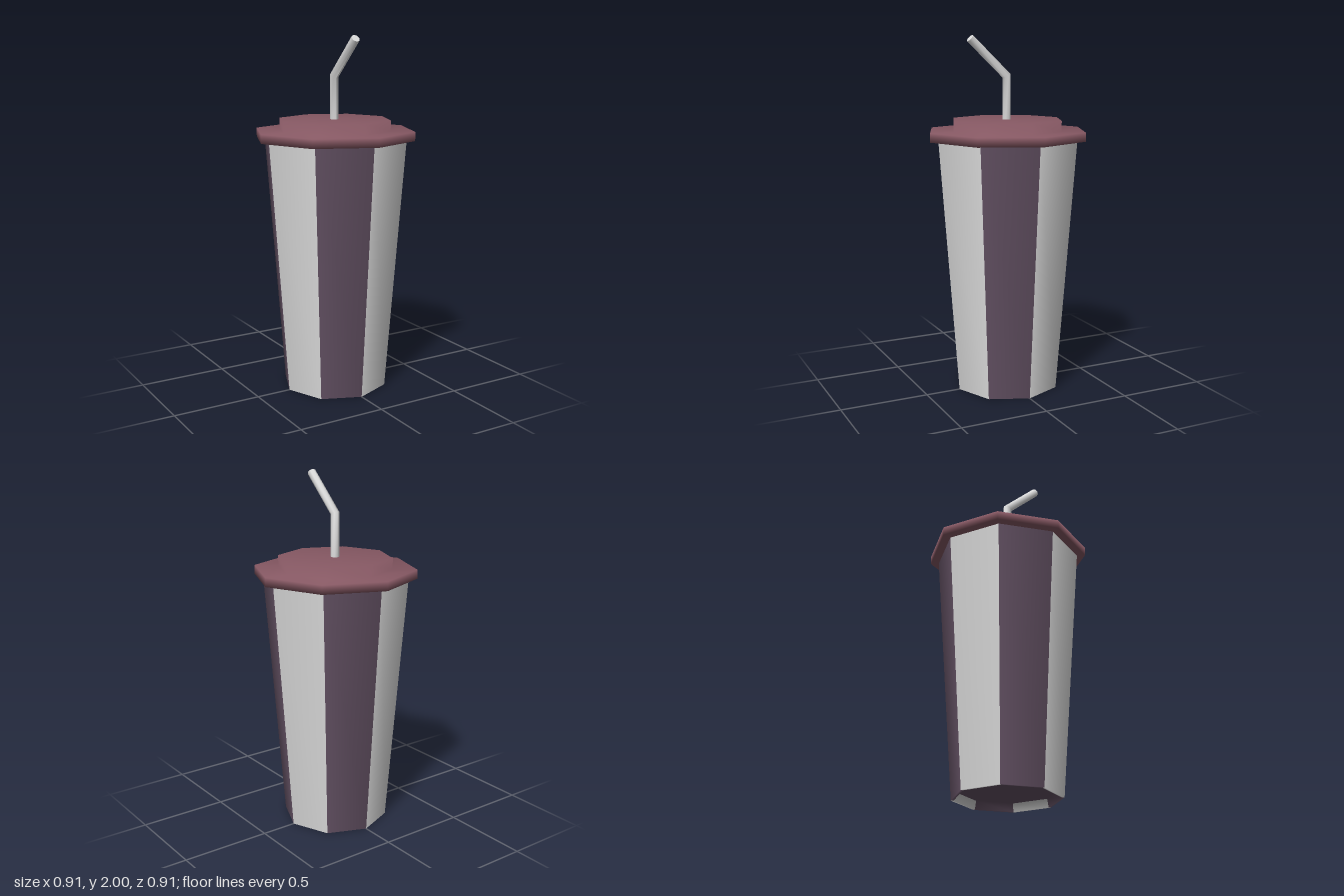
import * as THREE from 'three';

const SIDES = 8;

function material(name, color, side = THREE.FrontSide) {
  const m = new THREE.MeshStandardMaterial({ color, side });
  m.name = name;
  return m;
}

function lathe(points) {
  return new THREE.LatheGeometry(points.map(([r, y]) => new THREE.Vector2(r, y)), SIDES);
}

function named(name, geometry, mat) {
  const mesh = new THREE.Mesh(geometry, mat);
  mesh.name = name;
  return mesh;
}

// Tapered octagonal cup with a recessed base and alternating panels
function cupGeometry() {
  const profile = [[0, 0.045], [0.275, 0.045], [0.285, 0], [0.3, 0], [0.41, 1.435]];
  const g = lathe(profile);
  const perSide = (profile.length - 1) * 6;
  for (let i = 0; i < SIDES; i++) {
    const start = i * perSide;
    g.addGroup(start, 6, 1); // base is always purple
    g.addGroup(start + 6, perSide - 6, i % 2);
  }
  return g;
}

// Straight straw whose upper half leans forward from a mitred bend
function strawGeometry() {
  const radius = 0.024, lean = 0.82, bendY = 1.78, length = 0.3;
  const g = new THREE.CylinderGeometry(radius, radius, 1, SIDES, 2);
  const p = g.attributes.position;
  for (let i = 0; i < p.count; i++) {
    const y = p.getY(i), z = p.getZ(i);
    if (y > 0.1) {
      p.setY(i, bendY + length * Math.cos(lean) - z * Math.sin(lean));
      p.setZ(i, length * Math.sin(lean) + z * Math.cos(lean));
    } else if (y > -0.1) {
      p.setY(i, bendY - z * Math.tan(lean / 2));
    } else {
      p.setY(i, 1.5);
    }
  }
  g.computeVertexNormals();
  return g;
}

export function createModel() {
  const white = material('white', 0xdcdcdc);
  const purple = material('dark purple', 0x625062);
  const maroon = material('dusty maroon', 0x865863);

  const group = new THREE.Group();
  group.name = 'drinkCup';
  group.add(named('cup', cupGeometry(), [white, purple]));

  // Stepped lid, closed underneath
  group.add(named('lid', lathe([
    [0, 1.43], [0.457, 1.43], [0.457, 1.48], [0.32, 1.48], [0.32, 1.54], [0, 1.54],
  ]), maroon));

  group.add(named('straw', strawGeometry(), white));
  return group;
}
